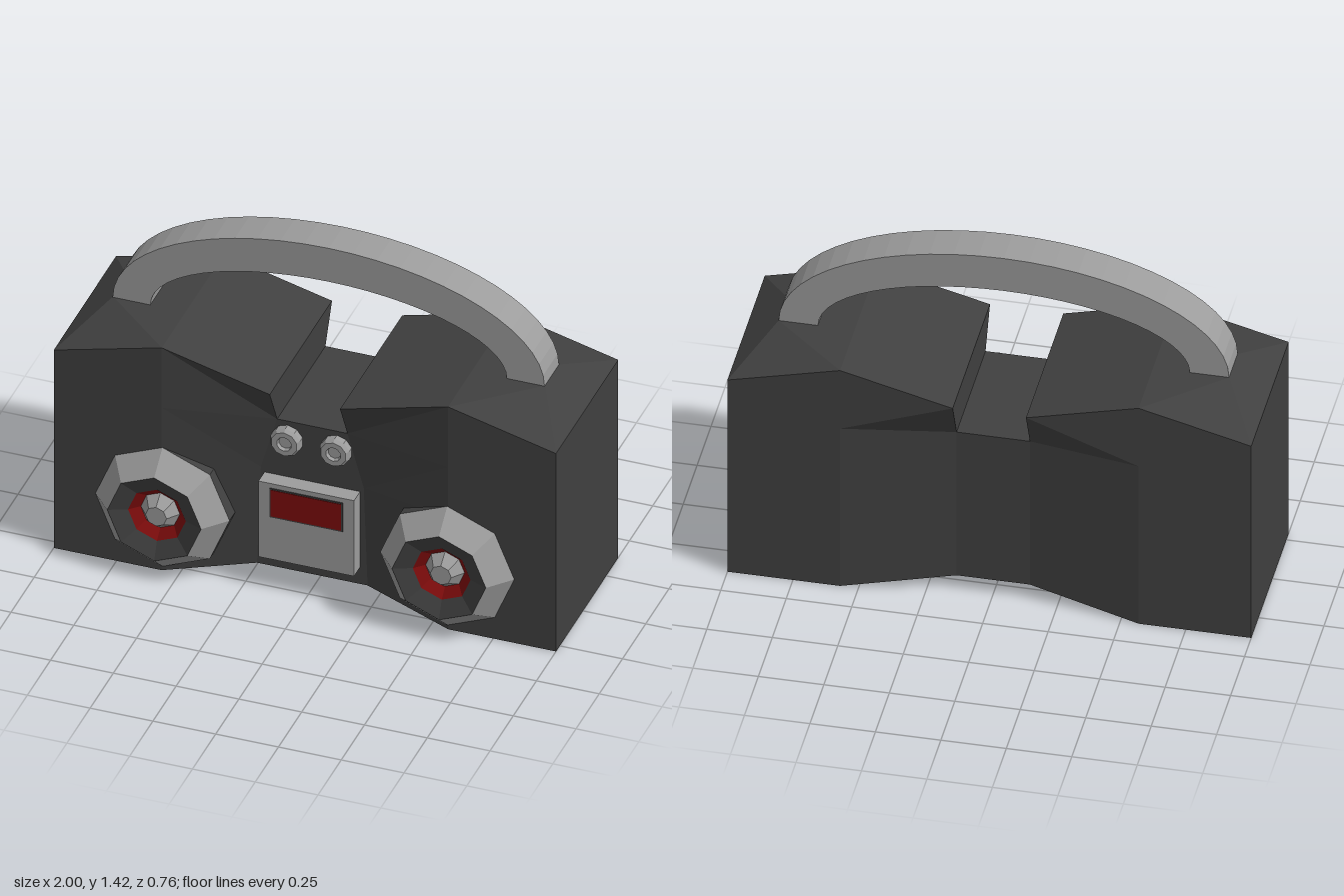
import * as THREE from 'three';

const mat = (name, color) => {
  const m = new THREE.MeshStandardMaterial({ color });
  m.name = name;
  return m;
};

const flat = (geo) => {
  const g = geo.index ? geo.toNonIndexed() : geo;
  g.computeVertexNormals();
  return g;
};

// Polygon fans given for the +x half (counter-clockwise outside), mirrored to -x
function mirroredFaces(faces) {
  const out = [];
  for (const f of faces) {
    for (let i = 1; i < f.length - 1; i++) {
      const [a, b, c] = [f[0], f[i], f[i + 1]];
      out.push(...a, ...b, ...c);
      for (const p of [a, c, b]) out.push(-p[0], p[1], p[2]);
    }
  }
  const g = new THREE.BufferGeometry();
  g.setAttribute('position', new THREE.Float32BufferAttribute(out, 3));
  return flat(g);
}

// Faceted turned part whose axis points to +z; profile is [radius, z]
function turned(profile, sides = 8) {
  const g = new THREE.LatheGeometry(profile.map(([r, z]) => new THREE.Vector2(r, z)), sides);
  return flat(g.rotateX(Math.PI / 2));
}

function bodyGeometry() {
  const F = 0.29, B = -0.38, f = 0.21, b = -0.31;
  // Columns from outer end to middle, rows from bottom to top
  const front = [
    [[1, 0, F], [1, 0.5, F], [1, 0.73, F], [1, 0.89, F]],
    [[0.57, 0, F], [0.57, 0.5, F], [0.57, 0.73, F], [0.57, 1, F]],
    [[0.22, 0.065, f], [0.205, 0.5, f], [0.14, 0.73, f], [0.14, 0.89, F]],
    [[0, 0.065, f], [0, 0.5, f], [0, 0.73, f]],
  ];
  const back = [
    [[1, 0, B], [1, 0.5, B], [1, 0.73, B], [1, 0.89, B]],
    [[0.57, 0, B], [0.57, 0.5, B], [0.57, 0.73, B], [0.57, 1, B]],
    [[0.14, 0.065, b], [0.14, 0.5, b], [0.14, 0.73, b], [0.14, 0.89, B]],
    [[0, 0.065, b], [0, 0.5, b], [0, 0.73, b]],
  ];
  const faces = [];
  for (let c = 0; c < 3; c++) {
    for (let r = 0; r < (c < 2 ? 3 : 2); r++) {
      faces.push([front[c + 1][r], front[c][r], front[c][r + 1], front[c + 1][r + 1]]);
      faces.push([back[c][r], back[c + 1][r], back[c + 1][r + 1], back[c][r + 1]]);
    }
    // underside
    faces.push([front[c][0], front[c + 1][0], back[c + 1][0], back[c][0]]);
  }
  const [fo, fm, fi] = front.map((c) => c[3]);
  const [bo, bm, bi] = back.map((c) => c[3]);
  const p = [0.86, 1, 0.03], q = [0.86, 1, -0.12];
  faces.push(
    [front[0][0], back[0][0], bo, fo], // end
    [fo, bo, q, p], [fo, p, fm], [bo, bm, q], [fm, p, q, bm], // shoulder
    [fi, fm, bm, bi], // inner slope
    [front[2][2], fi, bi, back[2][2]], // notch wall
    [front[3][2], front[2][2], back[2][2], back[3][2]], // notch floor
  );
  return mirroredFaces(faces);
}

function handleGeometry() {
  const N = 28, s = new THREE.Shape();
  const arc = (rx, ry, t) => [rx * Math.cos(t), 1 + ry * Math.sin(t)];
  s.moveTo(0.86, 0.98);
  for (let i = 0; i <= N; i++) s.lineTo(...arc(0.86, 0.42, (Math.PI * i) / N));
  s.lineTo(-0.86, 0.98);
  s.lineTo(-0.71, 0.98);
  for (let i = N; i >= 0; i--) s.lineTo(...arc(0.71, 0.27, (Math.PI * i) / N));
  s.lineTo(0.71, 0.98);
  return new THREE.ExtrudeGeometry(s, { depth: 0.155, bevelEnabled: false }).translate(0, 0, -0.12);
}

export function createModel() {
  const model = new THREE.Group();
  model.name = 'portableStereo';
  const dark = mat('charcoal', 0x404040);
  const grey = mat('grey', 0x9c9c9c);
  const red = mat('darkRed', 0x7c0c0c);
  const add = (parent, name, geo, m, x = 0, y = 0, z = 0) => {
    const mesh = new THREE.Mesh(geo, m);
    mesh.name = name;
    mesh.position.set(x, y, z);
    parent.add(mesh);
  };

  add(model, 'body', bodyGeometry(), dark);
  add(model, 'handle', handleGeometry(), grey);

  for (const side of [-1, 1]) {
    const label = side > 0 ? 'left' : 'right';
    // Speaker
    const speaker = new THREE.Group();
    speaker.name = label + 'Speaker';
    speaker.position.set(side * 0.567, 0.285, 0);
    model.add(speaker);
    add(speaker, 'speakerBase', turned([[0.267, 0.2], [0.267, 0.29]]), dark);
    add(speaker, 'speakerRim', turned([[0.267, 0.29], [0.187, 0.38]]), grey);
    add(speaker, 'speakerCone', turned([[0.187, 0.38], [0.115, 0.35]]), dark);
    add(speaker, 'speakerRing', turned([[0.115, 0.35], [0.075, 0.31]]), red);
    add(speaker, 'speakerCap', turned([[0.08, 0.31], [0.042, 0.36], [0, 0.36]]), grey);
    // Dial with a sunken centre
    add(model, label + 'Dial',
      turned([[0.062, 0.2], [0.062, 0.235], [0.052, 0.25], [0.03, 0.25], [0.026, 0.235], [0, 0.235]], 10),
      grey, side * 0.098, 0.65);
  }

  // Cassette panel and display
  add(model, 'panel', new THREE.BoxGeometry(0.38, 0.34, 0.08), grey, 0, 0.31, 0.235);
  add(model, 'displayFrame', new THREE.BoxGeometry(0.292, 0.13, 0.004), dark, 0, 0.395, 0.276);
  add(model, 'display', new THREE.BoxGeometry(0.28, 0.118, 0.006), red, 0, 0.395, 0.277);
  return model;
}
